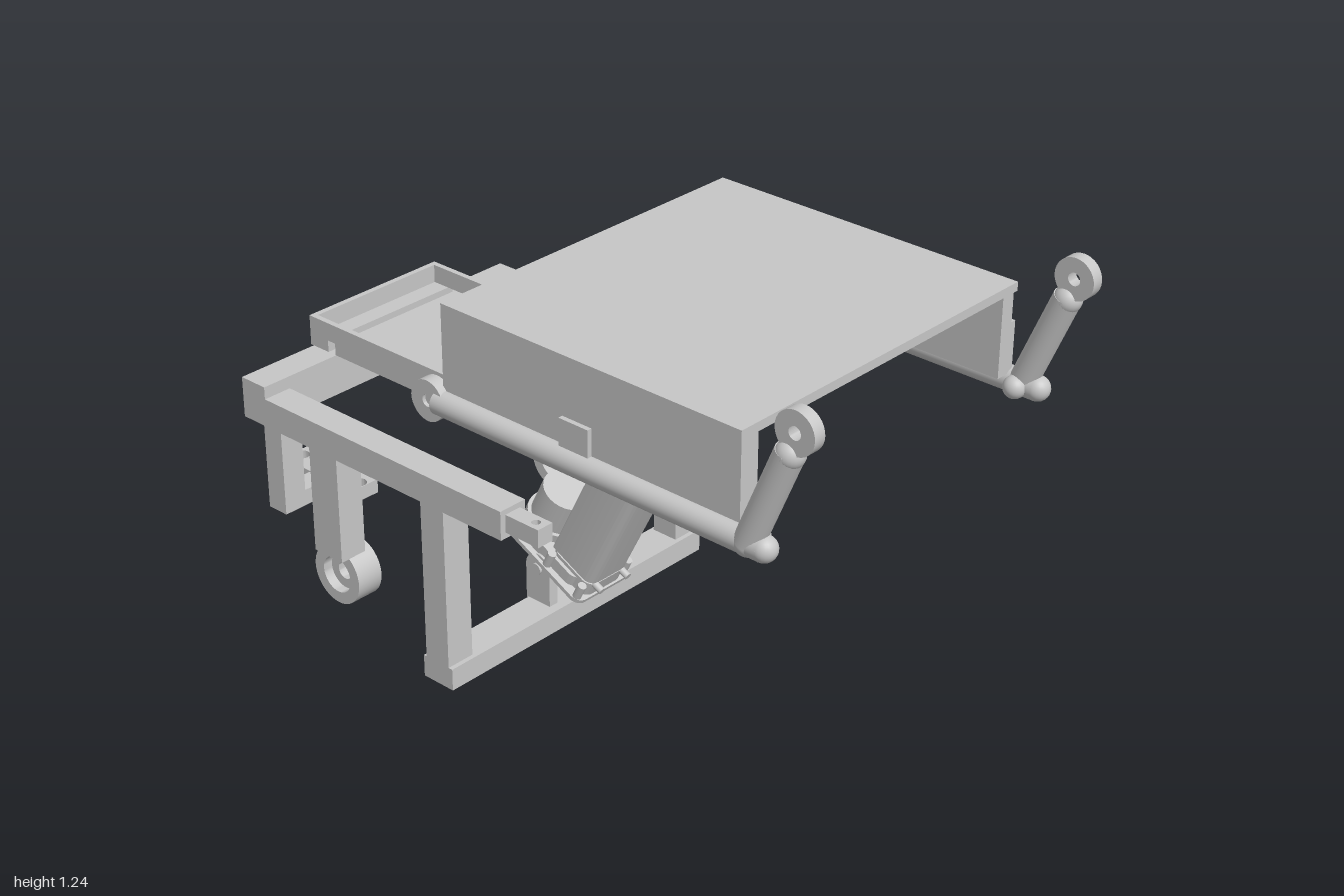
import * as THREE from 'three';
import { toCreasedNormals } from 'three/addons/utils/BufferGeometryUtils.js';

const steel = new THREE.MeshStandardMaterial({ color: 0xc7c7c7 });
steel.name = 'light grey steel';

function add(parent, name, geo, x = 0, y = 0, z = 0) {
  const m = new THREE.Mesh(geo, steel);
  m.name = name;
  m.position.set(x, y, z);
  parent.add(m);
  return m;
}

// Box given by its limits on each axis
function box(parent, name, x0, x1, y0, y1, z0, z1) {
  return add(parent, name, new THREE.BoxGeometry(x1 - x0, y1 - y0, Math.abs(z1 - z0)),
    (x0 + x1) / 2, (y0 + y1) / 2, (z0 + z1) / 2);
}

// Round bar between two points
function bar(parent, name, a, b, r) {
  const p = new THREE.Vector3(...a), q = new THREE.Vector3(...b);
  const m = add(parent, name, new THREE.CylinderGeometry(r, r, p.distanceTo(q), 28));
  m.position.copy(p).lerp(q, 0.5);
  m.quaternion.setFromUnitVectors(new THREE.Vector3(0, 1, 0), q.sub(p).normalize());
  return m;
}

const ball = (parent, name, x, y, z, r) => add(parent, name, new THREE.SphereGeometry(r, 24, 16), x, y, z);

// Rectangle with corner radius r on the +x side and q on the -x side
function rectShape(w, h, r = 0, q = r) {
  const s = new THREE.Shape(), a = w / 2, b = h / 2;
  if (!r) {
    return new THREE.Shape([[-a, -b], [a, -b], [a, b], [-a, b]].map(p => new THREE.Vector2(...p)));
  }
  s.absarc(a - r, b - r, r, 0, Math.PI / 2);
  s.absarc(q - a, b - q, q, Math.PI / 2, Math.PI);
  s.absarc(q - a, q - b, q, Math.PI, Math.PI * 1.5);
  s.absarc(a - r, r - b, r, Math.PI * 1.5, Math.PI * 2);
  s.closePath();
  return s;
}

function drill(shape, x, y, r) {
  const h = new THREE.Path();
  h.absarc(x, y, r, 0, Math.PI * 2, true);
  shape.holes.push(h);
  return shape;
}

// Extrusion centred on its depth; upright = depth runs along y
function extrude(shape, depth, upright = false) {
  const g = new THREE.ExtrudeGeometry(shape, { depth, bevelEnabled: false, curveSegments: 16 });
  g.translate(0, 0, -depth / 2);
  if (upright) g.rotateX(-Math.PI / 2);
  return toCreasedNormals(g, 0.6);
}

function eye(parent, name, x, y, z, r, hole, depth) {
  const s = new THREE.Shape();
  s.absarc(0, 0, r, 0, Math.PI * 2);
  return add(parent, name, extrude(drill(s, 0, 0, hole), depth), x, y, z);
}

// Lug with a rounded, drilled top, base at y = 0
function lugGeometry(w, h, hole, depth) {
  const s = new THREE.Shape(), r = w / 2;
  s.moveTo(-r, 0);
  s.lineTo(r, 0);
  s.lineTo(r, h - r);
  s.absarc(0, h - r, r, 0, Math.PI);
  s.closePath();
  return extrude(drill(s, 0, h - r, hole), depth);
}

function buildFrame() {
  const g = new THREE.Group();
  g.name = 'baseFrame';
  box(g, 'rearBeam', -0.948, -0.86, 0.521, 0.637, -0.477, 0.477);
  box(g, 'bottomBeam', -0.291, -0.187, 0, 0.063, -0.477, 0.477);
  const wheel = [[0.025, -0.012], [0.052, -0.012], [0.052, -0.04], [0.085, -0.04], [0.085, 0.04],
    [0.052, 0.04], [0.052, 0.012], [0.025, 0.012], [0.025, -0.012]].map(p => new THREE.Vector2(...p));
  const wheelGeo = toCreasedNormals(new THREE.LatheGeometry(wheel, 40).rotateX(Math.PI / 2), 0.6);
  for (const s of [1, -1]) {
    box(g, 'sideRail', -0.86, 0.003, 0.521, 0.602, s * 0.392, s * 0.477);
    box(g, 'leg', -0.281, -0.2, 0.063, 0.521, s * 0.392, s * 0.477);
    add(g, 'railTip', extrude(drill(rectShape(0.11, 0.05), 0.025, 0, 0.012), 0.05, true), 0.058, 0.562, s * 0.435);
    box(g, 'wheelPost', -0.695, -0.592, 0.215, 0.521, s * 0.395, s * 0.477);
    add(g, 'wheel', wheelGeo, -0.643, 0.148, s * 0.412);
  }
  // Hanging brackets with drilled foot plates, one near each end
  for (const [s, x, c, w] of [[1, -0.859, -0.862, 0.277], [-1, -0.427, -0.427, 0.28]]) {
    box(g, 'hangerPost', x - 0.033, x + 0.033, 0.262, 0.521, s * 0.39, s * 0.46);
    box(g, 'hangerArm', x - 0.033, x + 0.033, 0.262, 0.308, s * 0.315, s * 0.39);
    const plate = rectShape(w, 0.093);
    for (const k of [-1, 1]) drill(plate, k * 0.114, 0, 0.023);
    add(g, 'footPlate', extrude(plate, 0.04, true), c, 0.291, s * 0.27);
  }
  return g;
}

function buildTray() {
  const g = new THREE.Group();
  g.name = 'tray';
  // Floor strips with two open slots between them
  for (const [a, b] of [[-0.957, -0.888], [-0.86, -0.465], [-0.437, -0.364]]) {
    box(g, 'trayFloor', a, b, 0.638, 0.672, -0.231, 0.228);
  }
  for (const z of [-0.231, 0.212]) box(g, 'traySide', -0.957, -0.364, 0.672, 0.724, z, z + 0.016);
  for (const x of [-0.957, -0.38]) box(g, 'trayEnd', x, x + 0.016, 0.672, 0.724, -0.215, 0.212);
  return g;
}

function buildPlatform() {
  const g = new THREE.Group();
  g.name = 'liftPlatform';
  box(g, 'deck', -0.149, 0.782, 1.098, 1.122, -0.507, 0.507);
  box(g, 'frontWall', -0.149, 0.782, 0.882, 1.098, 0.45, 0.507);
  box(g, 'backWall', -0.149, 0.782, 0.882, 1.02, -0.507, -0.45);
  box(g, 'backWallRecess', -0.149, 0.782, 1.02, 1.098, -0.492, -0.45);
  const lug = lugGeometry(0.075, 0.18, 0.017, 0.03);
  bar(g, 'crossTube', [-0.185, 0.86, -0.52], [-0.185, 0.86, 0.52], 0.03);
  for (const s of [1, -1]) {
    box(g, 'crossBeam', 0.245, 0.337, 0.89, 0.965, s * 0.06, s * 0.52);
    add(g, 'rodLug', lug, 0.295, 0.89, s * 0.075);
    // Side tube with arm and eyes
    const z = s * 0.512;
    bar(g, 'sideTube', [-0.16, 0.86, z], [0.857, 0.86, z], 0.033);
    ball(g, 'tubeEnd', 0.857, 0.86, z, 0.033);
    eye(g, 'hingeEye', -0.183, 0.86, z, 0.055, 0.016, 0.036);
    bar(g, 'arm', [0.812, 0.86, z], [0.922, 1.125, z], 0.036);
    ball(g, 'armElbow', 0.812, 0.86, z, 0.036);
    ball(g, 'armTop', 0.922, 1.12, z, 0.036);
    bar(g, 'elbowStub', [0.812, 0.86, z], [0.812, 0.86, s * 0.48], 0.03);
    ball(g, 'stubEnd', 0.812, 0.86, s * 0.48, 0.03);
    eye(g, 'armEye', 0.945, 1.184, z, 0.055, 0.017, 0.034);
  }
  return g;
}

// Linear actuator, built upright and then tilted towards the platform
function buildActuator() {
  const g = new THREE.Group();
  g.name = 'actuator';
  add(g, 'housing', extrude(rectShape(0.15, 0.15, 0.03, 0.004), 0.51, true), 0, 0.315, 0);
  add(g, 'housingBase', extrude(rectShape(0.15, 0.15, 0.03), 0.045, true), 0, 0.033, 0);
  bar(g, 'rod', [0.027, 0.55, 0], [0.027, 1.01, 0], 0.013);
  add(g, 'rodEnd', toCreasedNormals(new THREE.CylinderGeometry(0.027, 0.027, 0.045, 6), 0.6), 0.027, 1.025, 0);
  // Motor beside the housing, with its gearbox flange
  bar(g, 'motor', [-0.147, 0.03, 0], [-0.147, 0.176, 0], 0.07);
  bar(g, 'motorCollar', [-0.147, 0.05, 0], [-0.147, 0.075, 0], 0.08);
  add(g, 'gearPlate', extrude(rectShape(0.305, 0.205, 0.03), 0.012, true), -0.072, 0.004, 0);
  add(g, 'gearCover', extrude(rectShape(0.25, 0.17, 0.03), 0.035, true), -0.09, 0.0275, 0);
  for (const s of [1, -1]) {
    for (const x of [-0.2, -0.06, 0.06]) bar(g, 'bolt', [x, 0, s * 0.088], [x, 0.055, s * 0.088], 0.012);
    bar(g, 'sideBolt', [0.07, 0.052, s * 0.05], [0.1, 0.052, s * 0.05], 0.01);
  }
  g.position.set(-0.176, 0.153, 0);
  g.rotation.z = -0.467;
  return g;
}

export function createModel() {
  const model = new THREE.Group();
  model.name = 'liftMechanism';
  model.add(buildFrame(), buildTray(), buildPlatform(), buildActuator());
  // Lower pivot lugs and pin
  const lug = lugGeometry(0.085, 0.15, 0.015, 0.03);
  for (const s of [1, -1]) add(model, 'pivotLug', lug, -0.256, 0.058, s * 0.077);
  bar(model, 'pivotPin', [-0.256, 0.165, -0.1], [-0.256, 0.165, 0.1], 0.016);
  return model;
}
